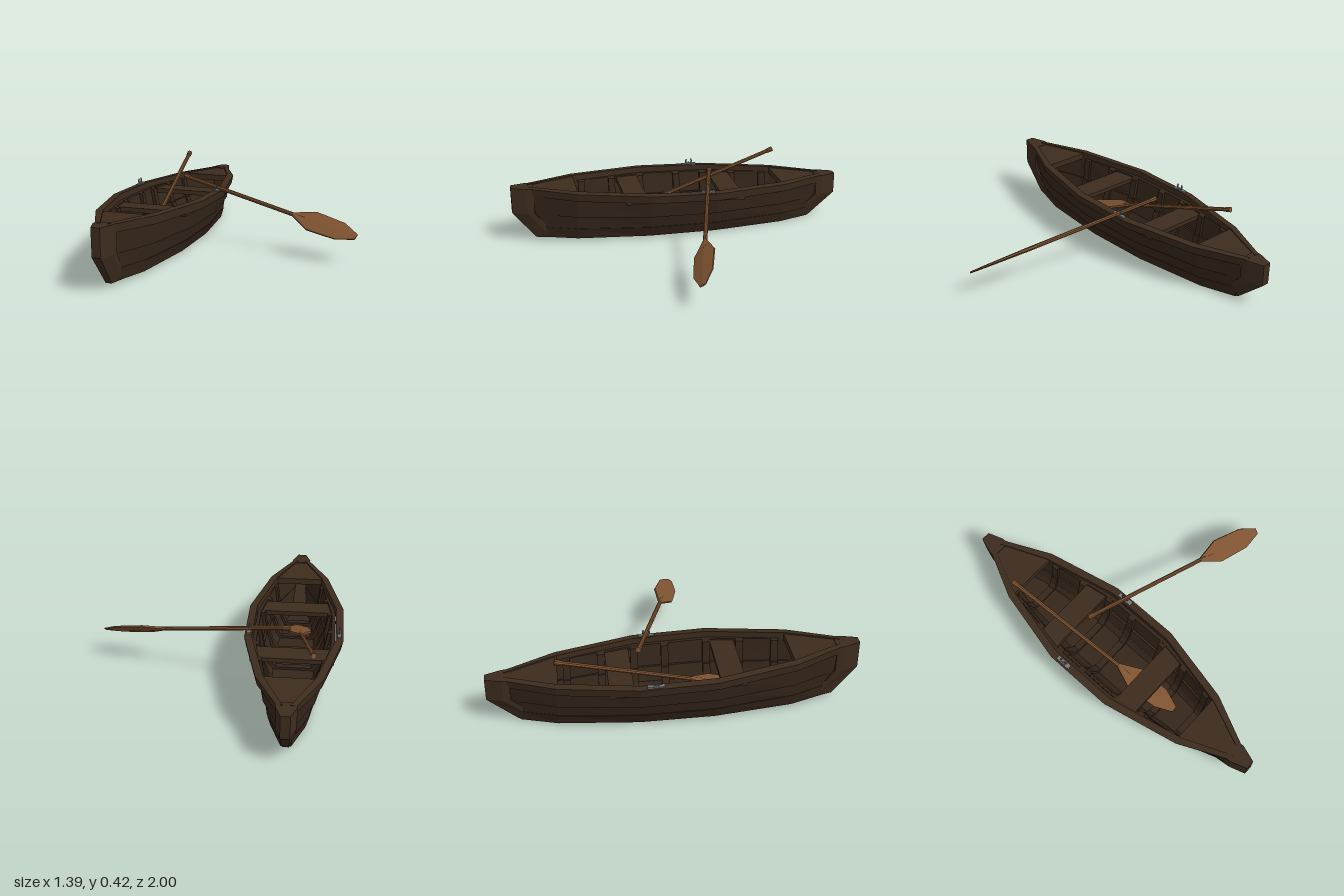
import * as THREE from 'three';

const V = (x, y, z) => new THREE.Vector3(x, y, z);
const mat = (color) => new THREE.MeshStandardMaterial({ color, flatShading: true, side: THREE.DoubleSide });
const hullMat = mat(0x35261a), trimMat = mat(0x3d2c1e), oarMat = mat(0x7d5230), metalMat = mat(0x777777);

// Boat lines: sheer height, bottom height and rim half-width along z
const CX = -0.43;
const sheer = (z) => 0.305 + 0.04 * z;
const keel = (z) => 0.01 + 0.012 * z;
const STATIONS = [-0.9, -0.63, -0.2, 0.2, 0.63, 0.9];
function halfWidth(z) {
  const a = Math.abs(z), p = [[0, 0.27], [0.2, 0.27], [0.63, 0.175], [0.9, 0.05]];
  for (let i = 1; i < p.length; i++) {
    if (a <= p[i][0]) return THREE.MathUtils.mapLinear(a, p[i - 1][0], p[i][0], p[i - 1][1], p[i][1]);
  }
  return 0.05;
}

// Skin closed rings of points, cap both ends, and turn the faces outward
function loft(rings) {
  const n = rings[0].length, pts = rings.flat(), tri = [];
  const quad = (a, b, c, d) => tri.push([a, b, c], [a, c, d]);
  for (let r = 0; r < rings.length - 1; r++) {
    for (let i = 0; i < n; i++) {
      const j = (i + 1) % n, a = r * n, b = a + n;
      quad(a + i, a + j, b + j, b + i);
    }
  }
  const last = (rings.length - 1) * n;
  for (let i = 0; i < n / 2 - 1; i++) {
    quad(n - 1 - i, n - 2 - i, i + 1, i);
    quad(last + i, last + i + 1, last + n - 2 - i, last + n - 1 - i);
  }
  let volume = 0;
  for (const [a, b, c] of tri) volume += pts[a].dot(V(0, 0, 0).crossVectors(pts[b], pts[c]));
  const pos = [];
  for (const [a, b, c] of tri) {
    for (const k of volume < 0 ? [a, c, b] : [a, b, c]) pos.push(pts[k].x, pts[k].y, pts[k].z);
  }
  const g = new THREE.BufferGeometry();
  g.setAttribute('position', new THREE.Float32BufferAttribute(pos, 3));
  g.computeVertexNormals();
  return g;
}

function add(parent, name, geometry, material, x = 0, y = 0, z = 0) {
  const m = new THREE.Mesh(geometry, material);
  m.name = name;
  m.position.set(x, y, z);
  parent.add(m);
  return m;
}

// Half profiles as [half-width, height fraction], top to bottom
const OUTER = [[0.225, 0.9], [0.203, 0.48], [0.186, 0.5], [0.165, 0.22], [0.17, 0.22], [0.142, 0]];
const INNER = [[0.205, 0.9], [0.183, 0.48], [0.17, 0.48], [0.145, 0.22], [0.145, 0.21], [0.115, 0.08]];
const RIB = [[0.185, 0.88], [0.163, 0.48], [0.155, 0.47], [0.13, 0.25], [0.128, 0.24], [0.1, 0.13]];

// U-shaped section at z; the end sections rake inward towards the bottom
function section(z, out, inn) {
  const s = halfWidth(z) / 0.27, rake = Math.abs(z) > 0.8 ? 0.07 * Math.sign(z) : 0;
  const half = (p, side) => p.map(([x, f]) =>
    V(side * x * s, keel(z) + f * (sheer(z) - keel(z)), z - rake * (1 - f)));
  const u = (p) => [...half(p, -1), ...half(p, 1).reverse()];
  return [...u(out), ...u(inn).reverse()];
}

function buildBoat() {
  const boat = new THREE.Group();
  boat.name = 'boat';
  boat.position.x = CX;
  add(boat, 'plankedHull', loft(STATIONS.map((z) => section(z, OUTER, INNER))), hullMat);

  // Frames inside the hull
  for (const z of [-0.57, -0.38, -0.2, -0.03, 0.2, 0.38, 0.57]) {
    add(boat, 'rib', loft([z - 0.02, z + 0.02].map((k) => section(k, INNER, RIB))), hullMat);
  }

  // Rim along both sides
  for (const side of [-1, 1]) {
    add(boat, 'gunwale', loft(STATIONS.map((z) => {
      const h = halfWidth(z), w = Math.min(0.042, h * 0.6), y = sheer(z);
      return [V(side * h, y, z), V(side * (h - 0.01), y - 0.048, z),
        V(side * (h - w), y - 0.048, z), V(side * (h - w), y + 0.004, z)];
    })), trimMat);
  }

  for (const e of [-1, 1]) {
    // Triangular end deck
    add(boat, 'endDeck', loft([0.62, 0.9].map((a) => {
      const h = halfWidth(a) - 0.012, y = sheer(e * a) - 0.004;
      return [V(-h, y, e * a), V(h, y, e * a), V(h, y - 0.035, e * a), V(-h, y - 0.035, e * a)];
    })), trimMat);

    // Stem post: upright above, raked back below
    const levels = e > 0
      ? [[0.345, 0, 1], [0.19, 0, 0.95], [0.02, 0.13, 0.65]]
      : [[0.265, 0, 1], [0.14, 0, 0.95], [0, 0.16, 0.65]];
    add(boat, 'stemPost', loft(levels.map(([y, back, k]) =>
      [[-0.025, 1], [-0.055, 0.91], [-0.055, 0.87], [0.055, 0.87], [0.055, 0.91], [0.025, 1]].map(([x, z]) =>
        V(x * k, y - (1 - z) * 0.04 * e, e * (z - back))))), trimMat);

    // Bench
    const zs = e > 0 ? 0.285 : -0.295;
    const bench = add(boat, 'bench', new THREE.BoxGeometry(0.45, 0.025, 0.13), trimMat, 0, sheer(zs) - 0.05, zs);
    bench.rotation.x = -0.04;

    // Rowlock: plate, pin and open ring
    const lock = new THREE.Group();
    lock.name = 'rowlock';
    lock.position.set(e * 0.248, sheer(-0.125), -0.125);
    add(lock, 'plate', new THREE.BoxGeometry(0.022, 0.01, 0.09), metalMat, 0, 0.004, 0);
    add(lock, 'pin', new THREE.CylinderGeometry(0.005, 0.005, 0.02, 6), metalMat, 0, 0.008, 0);
    const ring = add(lock, 'ring', new THREE.TorusGeometry(0.018, 0.0045, 5, 12, 4.7), metalMat, 0, 0.024, 0);
    ring.rotation.set(0, Math.PI / 2, 2.36, 'YXZ');
    boat.add(lock);
  }
  return boat;
}

// Oar from handle end to blade tip, with the blade spread along "across"
function buildOar(name, handle, tip, across) {
  const oar = new THREE.Group();
  oar.name = name;
  const length = handle.distanceTo(tip);
  const d = tip.clone().sub(handle).normalize();
  const w = across.clone().addScaledVector(d, -across.dot(d)).normalize();
  oar.setRotationFromMatrix(new THREE.Matrix4().makeBasis(w, d, V(0, 0, 0).crossVectors(w, d)));
  oar.position.copy(handle);
  const start = length - 0.4, shaft = start + 0.08;
  add(oar, 'shaft', new THREE.CylinderGeometry(0.012, 0.012, shaft, 8), oarMat, 0, shaft / 2, 0);
  add(oar, 'grip', new THREE.CylinderGeometry(0.014, 0.016, 0.035, 8), oarMat, 0, 0.0175, 0);
  // Blade: sections [distance, half-width, half-thickness] with a shallow central ridge
  const blade = [[0, 0.012, 0.012], [0.12, 0.066, 0.011], [0.3, 0.06, 0.008], [0.4, 0.018, 0.005]];
  add(oar, 'blade', loft(blade.map(([t, h, k]) => {
    const y = start + t, q = k * 0.5;
    return [V(-h, y, q), V(0, y, k), V(h, y, q), V(h, y, -q), V(0, y, -k), V(-h, y, -q)];
  })), oarMat);
  return oar;
}

export function createModel() {
  const model = new THREE.Group();
  model.name = 'rowingBoat';
  model.add(buildBoat());
  model.add(buildOar('stowedOar', V(-0.548, 0.408, -0.63), V(-0.425, 0.08, 0.465), V(1, 0, -0.11)));
  model.add(buildOar('outstretchedOar', V(-0.41, 0.358, -0.19), V(0.688, 0.155, 0.118), V(0.04, 0.075, -0.1)));
  return model;
}
